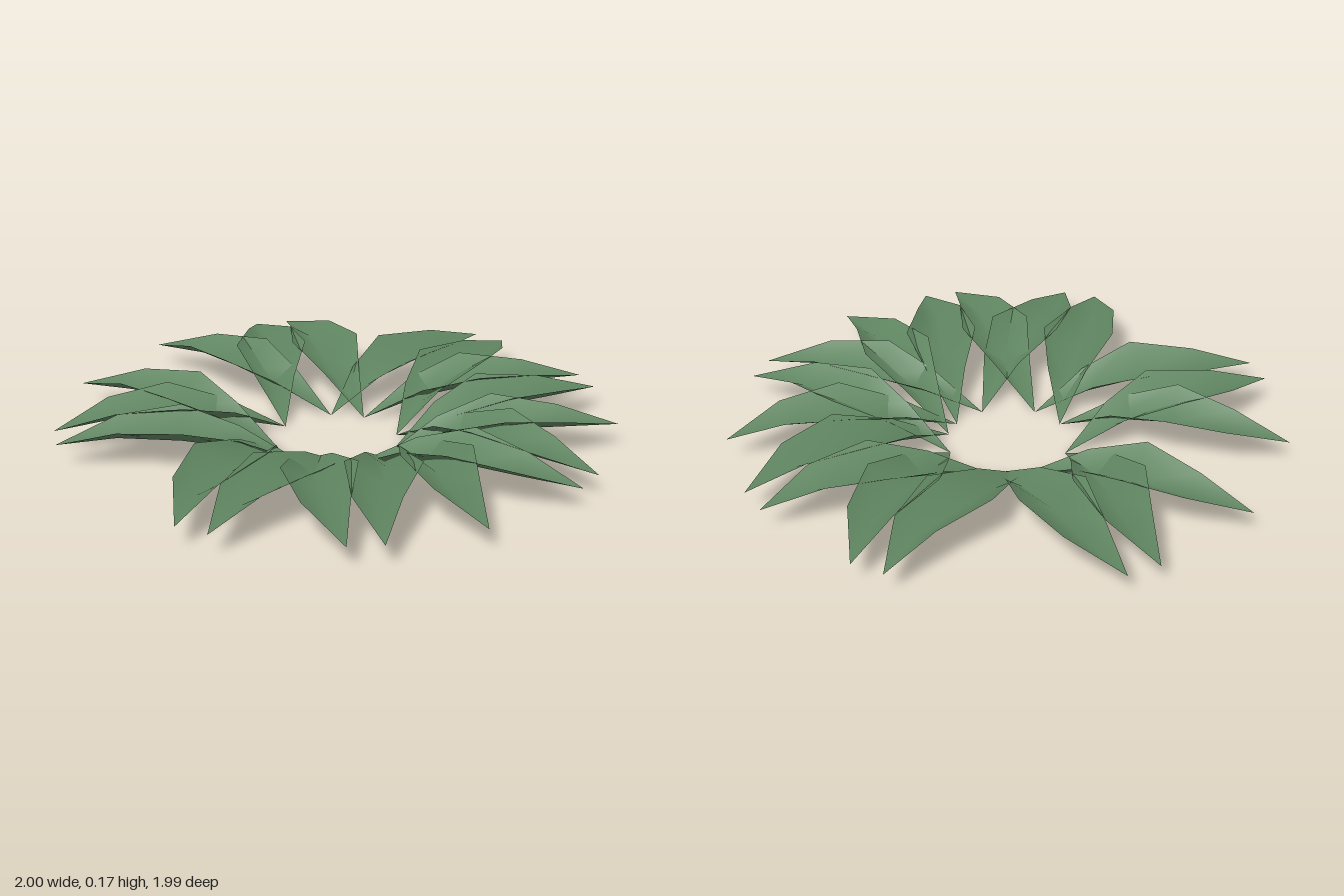
import * as THREE from 'three';

const LEAVES = 9; // base points, each carrying two leaves
const GOLDEN = THREE.MathUtils.degToRad(137.5);
const SWEEP = THREE.MathUtils.degToRad(39);
const BASE_RADIUS = 0.22;
const TIP_RADIUS = 1;
const CENTRE = new THREE.Vector2(0.003, 0.012); // x and z of the rosette's middle

// Leaf blade along +x, pointed at both ends and cupped: the edges arch above the midrib.
function leafGeometry() {
  // Each section: distance, edge height, midrib height, then z of left edge, midrib, right edge
  const sections = [
    [0.205, 0.115, 0.06, -0.08, -0.009, 0.062],
    [0.405, 0.172, 0.09, -0.13, 0, 0.133],
    [0.63, 0.15, 0.098, -0.058, 0.022, 0.106],
  ];
  const positions = [0, 0.002, 0];
  for (const [x, edge, rib, left, middle, right] of sections) {
    positions.push(x, edge, left, x, rib, middle, x, edge, right);
  }
  positions.push(0.843, 0.088, 0);

  const index = [];
  for (let j = 1; j < 3; j++) {
    index.push(0, j + 1, j); // pointed base
    for (let a = j; a < 6; a += 3) index.push(a, a + 1, a + 3, a + 1, a + 4, a + 3);
    index.push(j + 6, j + 7, 10); // pointed tip
  }

  const geometry = new THREE.BufferGeometry();
  geometry.setAttribute('position', new THREE.Float32BufferAttribute(positions, 3));
  geometry.setIndex(index);
  geometry.computeVertexNormals();
  return geometry;
}

export function createModel() {
  const model = new THREE.Group();
  model.name = 'leafRosette';

  const leafGreen = new THREE.MeshStandardMaterial({ color: 0x5f8560, side: THREE.DoubleSide });
  leafGreen.name = 'leafGreen';
  const blade = leafGeometry();

  // Leaf pairs spiral round the centre, spreading to both sides of each base
  for (let i = 0; i < LEAVES; i++) {
    const baseAngle = 0.005 - i * GOLDEN;
    const bx = Math.cos(baseAngle) * BASE_RADIUS;
    const bz = Math.sin(baseAngle) * BASE_RADIUS;
    for (const side of [-1, 1]) {
      const tipAngle = baseAngle + side * SWEEP;
      const tx = Math.cos(tipAngle) * TIP_RADIUS;
      const tz = Math.sin(tipAngle) * TIP_RADIUS;
      const leaf = new THREE.Mesh(blade, leafGreen);
      leaf.name = 'leaf';
      leaf.position.set(bx + CENTRE.x, 0, bz + CENTRE.y);
      leaf.rotation.y = -Math.atan2(tz - bz, tx - bx);
      model.add(leaf);
    }
  }
  return model;
}
